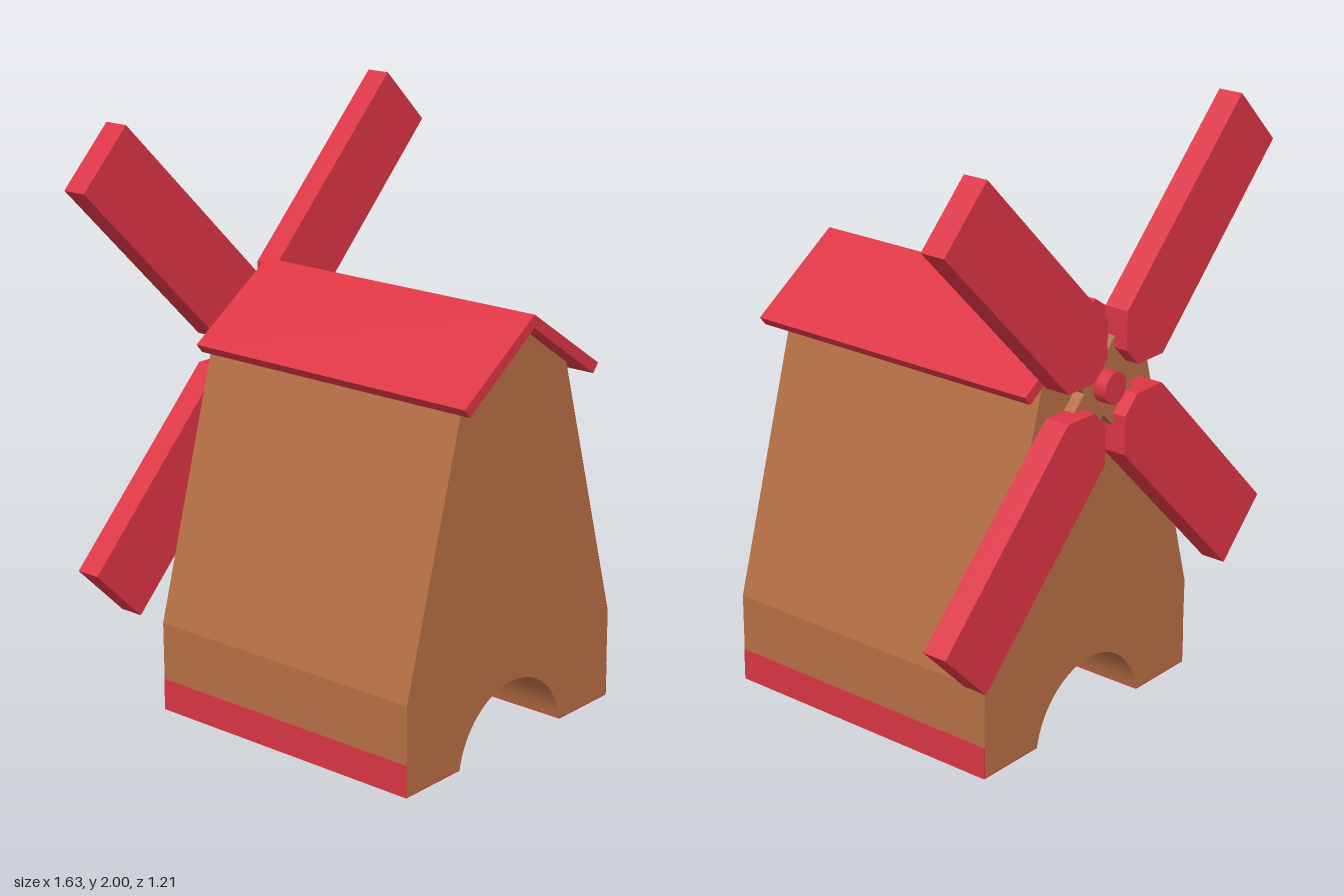
import * as THREE from 'three';
import { toCreasedNormals } from 'three/addons/utils/BufferGeometryUtils.js';

const RED = new THREE.MeshStandardMaterial({ color: 0xdc3545 });
const BROWN = new THREE.MeshStandardMaterial({ color: 0xb87045 });

const HUB_Y = 1.183;
const BACK = -0.517; // rear wall of the tower

function polygon(points) {
  return new THREE.Shape(points.map(([x, y]) => new THREE.Vector2(x, y)));
}

// Extrudes a front-view outline between two z positions
function slab(name, shape, zBack, zFront, material) {
  const geometry = new THREE.ExtrudeGeometry(shape, {
    depth: zFront - zBack, bevelEnabled: false, curveSegments: 32,
  });
  geometry.translate(0, 0, zBack);
  const mesh = new THREE.Mesh(toCreasedNormals(geometry, 0.15), material);
  mesh.name = name;
  return mesh;
}

export function createModel() {
  const model = new THREE.Group();
  model.name = 'windmill';

  // Tapered tower with an arched tunnel running front to back
  const skin = 0.003, archY = -0.047, archR = 0.269;
  const a = Math.asin((skin - archY) / archR);
  const archX = archR * Math.cos(a);
  const tower = polygon([
    [archX, skin], [0.527, skin], [0.527, 0.31], [0.26, 1.24],
    [0, 1.415], [-0.26, 1.24], [-0.527, 0.31], [-0.527, skin], [-archX, skin],
  ]);
  tower.absarc(0, archY, archR, Math.PI - a, a, true);
  model.add(slab('tower', tower, BACK, 0.538, BROWN));

  // Red skirting on the outer sides and undersides of both feet
  for (const s of [-1, 1]) {
    const trim = polygon([
      [0.265, 0], [0.529, 0], [0.529, 0.11], [0.526, 0.11], [0.526, skin], [0.265, skin],
    ].map(([x, y]) => [x * s, y]));
    model.add(slab(s > 0 ? 'leftSkirting' : 'rightSkirting', trim, BACK, 0.538, RED));
  }

  // Gabled roof, overhanging at the front
  const roof = polygon([
    [0, 1.458], [-0.34, 1.23], [-0.315, 1.2], [0, 1.415], [0.315, 1.2], [0.34, 1.23],
  ]);
  model.add(slab('roof', roof, BACK, 0.605, RED));

  // Sails on the rear wall
  const sails = new THREE.Group();
  sails.name = 'sails';
  sails.position.y = HUB_Y;
  model.add(sails);

  // One diagonal blade, trimmed at its inner end, repeated four times
  const blade = polygon([
    [0.05, 0.11], [0.11, 0.05], [0.24, 0.05], [0.815, 0.627], [0.627, 0.815], [0.05, 0.24],
  ]);
  for (let i = 0; i < 4; i++) {
    const mesh = slab('blade' + (i + 1), blade, -0.605, BACK - 0.001, RED);
    mesh.rotation.z = i * Math.PI / 2;
    sails.add(mesh);
  }

  // Crossed spars carrying the blades
  const w = 0.07, l = 0.2;
  const cross = polygon([
    [w, w], [w, l], [-w, l], [-w, w], [-l, w], [-l, -w],
    [-w, -w], [-w, -l], [w, -l], [w, -w], [l, -w], [l, w],
  ]);
  const spars = slab('spars', cross, -0.557, BACK, BROWN);
  spars.rotation.z = Math.PI / 4;
  sails.add(spars);

  // Hub pin
  const pin = new THREE.Mesh(new THREE.CylinderGeometry(0.053, 0.053, 0.085, 32), RED);
  pin.name = 'hubPin';
  pin.rotation.x = Math.PI / 2;
  pin.position.z = -0.5605;
  sails.add(pin);

  return model;
}
